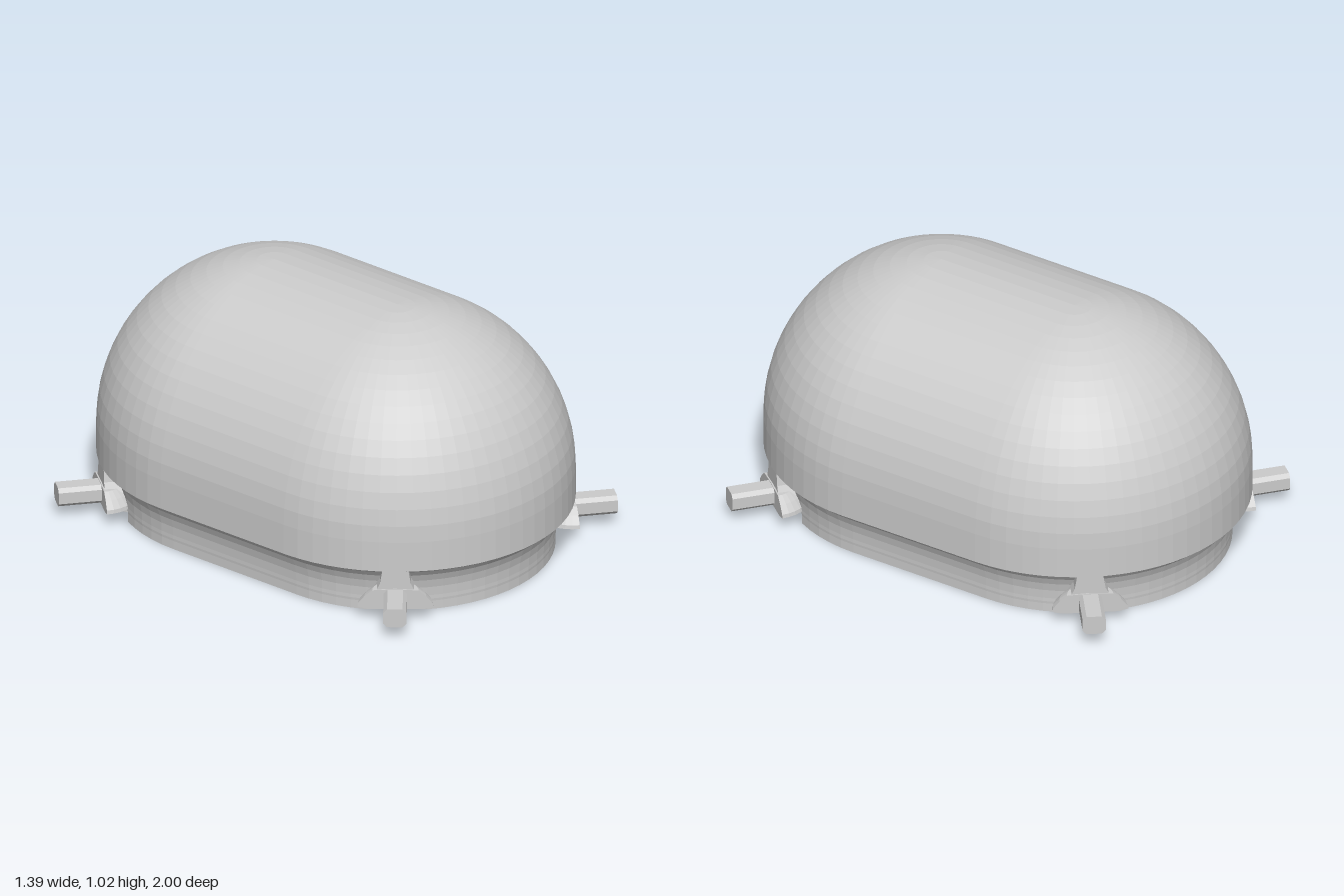
import * as THREE from 'three';

const HALF = 0.31;                 // half length of the straight middle
const MOUNT = THREE.MathUtils.degToRad(51); // corner direction, measured from z
const material = new THREE.MeshStandardMaterial({ color: 0xcccccc, flatShading: true });
const twoSided = new THREE.MeshStandardMaterial({ color: 0xcccccc, flatShading: true, side: THREE.DoubleSide });

function add(parent, name, geometry, mat = material) {
  const mesh = new THREE.Mesh(geometry, mat);
  mesh.name = name;
  parent.add(mesh);
  return mesh;
}

// Sweeps a [radius, height] profile around a stadium outline
function stadiumLoft(profile, dent = () => 0) {
  const steps = 32, outline = [];
  for (const side of [0, 1]) {
    for (let i = 0; i <= steps; i++) {
      outline.push({ a: -Math.PI / 2 + side * Math.PI + (i / steps) * Math.PI, z: side ? -HALF : HALF });
    }
  }
  outline.push(outline[0]);
  const n = outline.length, pos = [], index = [];
  profile.forEach(([r, y], j) => {
    outline.forEach(({ a, z }, i) => {
      const rad = Math.max(0, r - dent(a, r, y));
      pos.push(rad * Math.sin(a), y, z + rad * Math.cos(a));
      if (j && i) {
        const p = (j - 1) * n + i - 1, q = j * n + i - 1;
        index.push(p, p + 1, q + 1, p, q + 1, q);
      }
    });
  });
  const g = new THREE.BufferGeometry();
  g.setAttribute('position', new THREE.Float32BufferAttribute(pos, 3));
  g.setIndex(index);
  g.computeVertexNormals();
  return g;
}

// Extrudes an outline along z between two distances
function prism(points, from, to) {
  const shape = new THREE.Shape(points.map(([x, y]) => new THREE.Vector2(x, y)));
  return new THREE.ExtrudeGeometry(shape, { depth: to - from, bevelEnabled: false }).translate(0, 0, from);
}

// One corner mount, built pointing along +z
function cornerMount() {
  const mount = new THREE.Group();
  mount.name = 'cornerMount';

  // Bar with chamfered edges
  const w = 0.045, c = 0.015, lo = 0.05, hi = 0.127;
  add(mount, 'bar', prism([
    [-w + c, lo], [w - c, lo], [w, lo + c], [w, hi - c],
    [w - c, hi], [-w + c, hi], [-w, hi - c], [-w, lo + c],
  ], 0.58, 0.86));

  // Half-round flange with a flat outer face
  const rim = [[0, 0.045], [0.11, 0.045], [0.148, 0.055], [0.145, 0.07], [0.12, 0.1], [0.09, 0.125], [0, 0.13]]
    .map(([x, y]) => new THREE.Vector2(x, y));
  add(mount, 'flange', new THREE.LatheGeometry(rim, 16, Math.PI / 2, Math.PI), twoSided).position.z = 0.69;
  add(mount, 'flangeFace', new THREE.ShapeGeometry(new THREE.Shape(
    [...rim, ...rim.slice(1, -1).reverse().map((p) => new THREE.Vector2(-p.x, p.y))])), twoSided).position.z = 0.69;

  // Tapered gusset rising under the dome
  add(mount, 'gusset', prism([
    [-0.085, 0.1], [0.085, 0.1], [0.06, 0.15], [0.045, 0.24], [-0.045, 0.24], [-0.06, 0.15],
  ], 0.57, 0.684));

  // Small peg in the notch below
  add(mount, 'peg', new THREE.CylinderGeometry(0.045, 0.045, 0.046, 12).translate(0, 0.026, 0.57));
  return mount;
}

export function createModel() {
  const model = new THREE.Group();
  model.name = 'domedHousing';

  // Dome: short straight wall, then a quarter circle up to the ridge
  const R = 0.69, dome = [[R - 0.01, 0.2], [R, 0.205]];
  for (let i = 0; i <= 16; i++) {
    const t = (i / 16) * Math.PI / 2;
    dome.push([i === 16 ? 0 : R * Math.cos(t), 0.33 + R * Math.sin(t)]);
  }
  add(model, 'dome', stadiumLoft(dome));

  // Base: flat bottom, short wall and a concave flare up to the dome
  const base = [[0, 0], [0.612, 0], [0.612, 0.035], [0.613, 0.045]];
  for (let i = 0; i <= 6; i++) {
    const t = (i / 6) * Math.PI / 2;
    base.push([R - 0.077 * Math.cos(t), 0.06 + 0.142 * Math.sin(t)]);
  }
  // Shallow notches in the bottom edge below each mount
  const notch = (a, r, y) => {
    if (r === 0 || y > 0.04) return 0;
    const off = Math.abs(Math.asin(Math.min(1, Math.abs(Math.sin(a)))) - MOUNT);
    return off < 0.14 ? 0.04 : 0;
  };
  add(model, 'base', stadiumLoft(base, notch));

  // Four corner mounts
  for (const sx of [-1, 1]) {
    for (const sz of [-1, 1]) {
      const mount = cornerMount();
      mount.position.z = sz * HALF;
      mount.rotation.y = Math.atan2(sx * Math.sin(MOUNT), sz * Math.cos(MOUNT));
      model.add(mount);
    }
  }
  return model;
}
